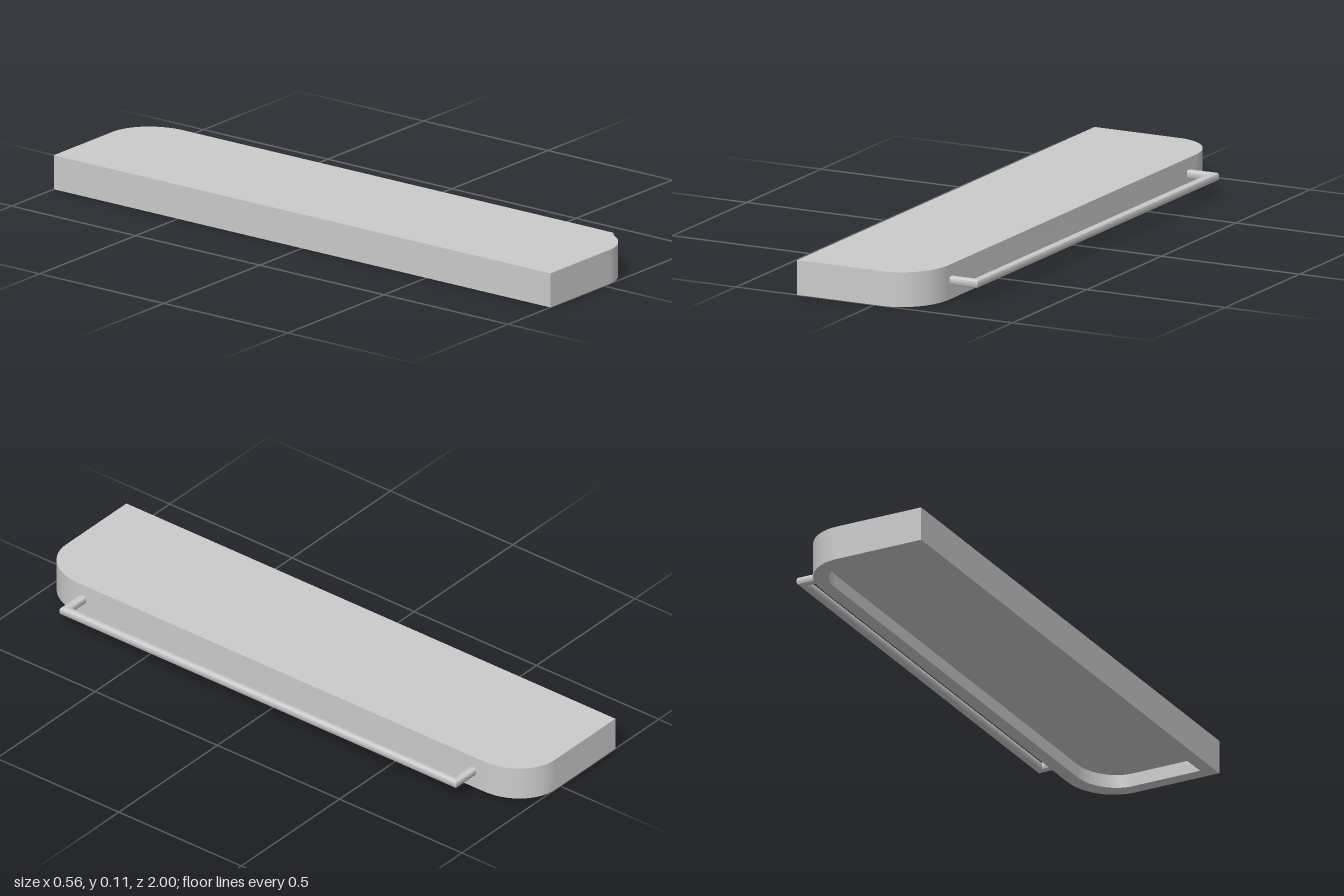
import * as THREE from 'three';
import { toCreasedNormals } from 'three/addons/utils/BufferGeometryUtils.js';

const material = new THREE.MeshStandardMaterial({ color: 0xcccccc });

// Slab outline: square corners at -x, rounded corners at +x
function outline(inset, Type = THREE.Shape) {
  const left = -0.28 + inset, right = 0.177 - inset, end = 1 - inset;
  const rx = 0.15 - inset * 0.6, rz = 0.17 - inset * 0.6;
  const p = new Type();
  p.moveTo(left, -end);
  p.lineTo(right - rx, -end);
  p.absellipse(right - rx, -end + rz, rx, rz, -Math.PI / 2, 0, false);
  p.lineTo(right, end - rz);
  p.absellipse(right - rx, end - rz, rx, rz, 0, Math.PI / 2, false);
  p.lineTo(left, end);
  p.closePath();
  return p;
}

function slab(shape, y, height) {
  const g = new THREE.ExtrudeGeometry(shape, { depth: height, bevelEnabled: false, curveSegments: 20 });
  g.rotateX(-Math.PI / 2).translate(0, y, 0);
  return toCreasedNormals(g, 0.6);
}

// Rounded-square bar section; place(u, v, atEnd) maps the section at each end
function bar(place) {
  const h = 0.0135, r = 0.008, c = h - r;
  const s = new THREE.Shape();
  s.absarc(c, c, r, 0, Math.PI / 2, false);
  s.absarc(-c, c, r, Math.PI / 2, Math.PI, false);
  s.absarc(-c, -c, r, Math.PI, Math.PI * 1.5, false);
  s.absarc(c, -c, r, Math.PI * 1.5, Math.PI * 2, false);
  const g = new THREE.ExtrudeGeometry(s, { depth: 1, bevelEnabled: false, curveSegments: 6 });
  const p = g.attributes.position;
  for (let i = 0; i < p.count; i++) p.setXYZ(i, ...place(p.getX(i), p.getY(i), p.getZ(i) > 0.5));
  return toCreasedNormals(g, 0.6);
}

export function createModel() {
  const model = new THREE.Group();
  const add = (name, geometry) => {
    const mesh = new THREE.Mesh(geometry, material);
    mesh.name = name;
    model.add(mesh);
  };

  // Shelf: solid top over a rim that leaves a shallow recess underneath
  const recess = 0.045;
  add('shelfTop', slab(outline(0), recess, 0.114 - recess));
  const rim = outline(0);
  rim.holes.push(outline(0.045, THREE.Path));
  add('shelfRim', slab(rim, 0, recess));

  // Rail with mitred corners and two short legs into the shelf edge
  const railX = 0.2655, railY = 0.061, zBack = -0.785, zFront = 0.81;
  add('rail', bar((u, v, atEnd) => [railX + u, railY + v, atEnd ? zFront + u : zBack - u]));
  for (const [name, z, side] of [['frontRailLeg', zFront, 1], ['backRailLeg', zBack, -1]]) {
    add(name, bar((u, v, atEnd) => [atEnd ? railX - side * u : 0.16, railY + v, z - u]));
  }
  return model;
}
